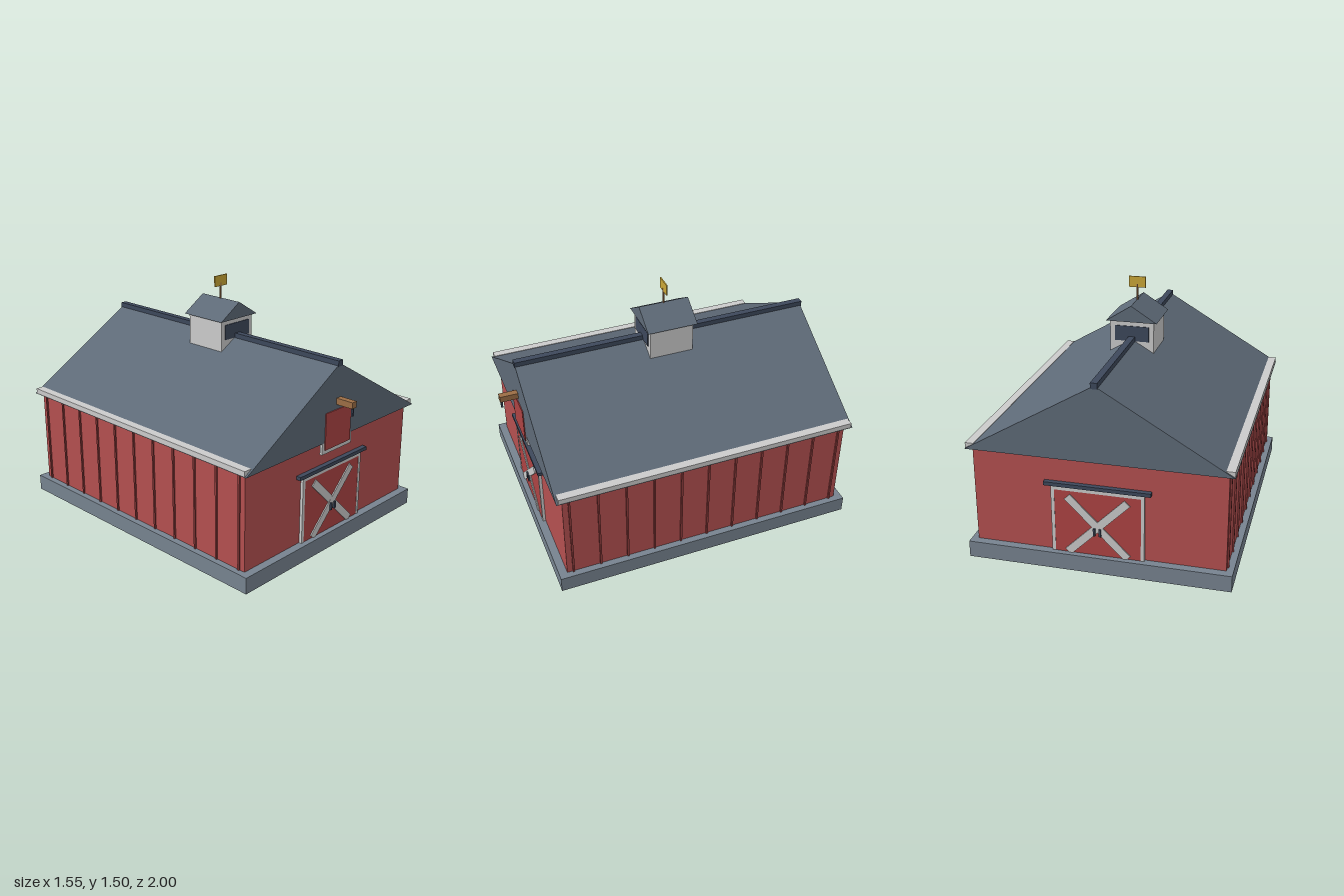
import * as THREE from 'three';

const material = (color) => new THREE.MeshStandardMaterial({ color, flatShading: true });

export function createModel() {
  const barn = new THREE.Group();
  barn.name = 'barn';

  const red = material(0xb45050), doorRed = material(0xad4343), battenRed = material(0x8f3c3c);
  const white = material(0xcccccc), slate = material(0x5e6a77), stone = material(0x77838f);
  const iron = material(0x3d485b), wood = material(0x9b6d45), gold = material(0xc9a636);

  // Box given by its minimum and maximum along each axis
  function box(name, mat, [x0, x1], [y0, y1], [z0, z1], parent = barn) {
    const mesh = new THREE.Mesh(new THREE.BoxGeometry(x1 - x0, y1 - y0, z1 - z0), mat);
    mesh.position.set((x0 + x1) / 2, (y0 + y1) / 2, (z0 + z1) / 2);
    mesh.name = name;
    parent.add(mesh);
    return mesh;
  }

  // Solid gable roof with its ridge along z
  function gableRoof(name, halfWidth, eave, apex, z0, z1) {
    const shape = new THREE.Shape();
    shape.moveTo(-halfWidth, eave);
    shape.lineTo(halfWidth, eave);
    shape.lineTo(0, apex);
    shape.closePath();
    const geometry = new THREE.ExtrudeGeometry(shape, { depth: z1 - z0, bevelEnabled: false });
    const mesh = new THREE.Mesh(geometry, slate);
    mesh.position.z = z0;
    mesh.name = name;
    barn.add(mesh);
  }

  // Foundation, walls and main roof
  box('foundation', stone, [-0.775, 0.775], [0, 0.1], [-1, 0.9]);
  box('walls', red, [-0.735, 0.735], [0.1, 0.69], [-0.95, 0.85]);
  gableRoof('mainRoof', 0.77, 0.69, 1.142, -0.987, 0.889);
  box('ridgeCap', iron, [-0.02, 0.02], [1.125, 1.16], [-0.992, 0.893]);

  // Battens and gutters along both sides
  for (const side of [-1, 1]) {
    for (let i = 0; i < 11; i++) {
      const z = 0.81 - i * 0.172, x = side * 0.738;
      box('batten', battenRed, [x - 0.006, x + 0.006], [0.1, 0.69], [z - 0.006, z + 0.006]);
    }
    const x = side * 0.743;
    box('gutter', white, [x - 0.025, x + 0.025], [0.69, 0.724], [-0.977, 0.877]);
  }

  // Double barn door, built facing +z with the wall at z = 0
  function barnDoor() {
    const door = new THREE.Group();
    door.name = 'barnDoor';
    for (const s of [-1, 1]) {
      const x = s * 0.261, leaf = s * 0.126, h = s * 0.017;
      box('doorPost', white, [x - 0.01, x + 0.01], [0.1, 0.515], [0, 0.018], door);
      box('doorLeaf', doorRed, [leaf - 0.126, leaf + 0.126], [0.1, 0.49], [0, 0.016], door);
      box('doorHandle', iron, [h - 0.006, h + 0.006], [0.23, 0.275], [0.018, 0.034], door);
      const brace = box('doorBrace', white, [-0.2475, 0.2475], [0.257, 0.303],
        [0.01, 0.023 + s * 0.0005], door);
      brace.rotation.z = s * Math.PI / 4;
    }
    box('doorLintel', white, [-0.271, 0.271], [0.49, 0.515], [0, 0.018], door);
    box('doorRail', iron, [-0.31, 0.31], [0.515, 0.537], [0, 0.03], door);
    return door;
  }
  const frontDoor = barnDoor();
  frontDoor.position.z = 0.85;
  const backDoor = barnDoor();
  backDoor.rotation.y = Math.PI;
  backDoor.position.z = -0.95;
  barn.add(frontDoor, backDoor);

  // Hay loft door with hoist beam and hook
  box('loftFrame', white, [-0.135, 0.135], [0.62, 0.89], [0.872, 0.8885]);
  box('loftDoor', doorRed, [-0.115, 0.115], [0.645, 0.87], [0.875, 0.895]);
  box('hoistBeam', wood, [-0.02, 0.02], [0.9, 0.938], [0.85, 1]);
  box('hoistHook', iron, [-0.006, 0.006], [0.85, 0.9], [0.983, 0.995]);

  // Cupola with louvres at both ends
  box('cupola', white, [-0.135, 0.135], [1.0, 1.255], [-0.188, 0.088]);
  box('frontLouvre', iron, [-0.105, 0.105], [1.132, 1.225], [0.08, 0.093]);
  box('backLouvre', iron, [-0.105, 0.105], [1.132, 1.225], [-0.193, -0.18]);
  gableRoof('cupolaRoof', 0.157, 1.255, 1.355, -0.208, 0.108);

  // Weather vane
  const pole = new THREE.Mesh(new THREE.CylinderGeometry(0.006, 0.006, 0.13, 8), wood);
  pole.position.set(0, 1.385, -0.05);
  pole.name = 'vanePole';
  barn.add(pole);
  box('vanePlate', gold, [-0.052, 0.052], [1.43, 1.497], [-0.054, -0.046]);

  return barn;
}
